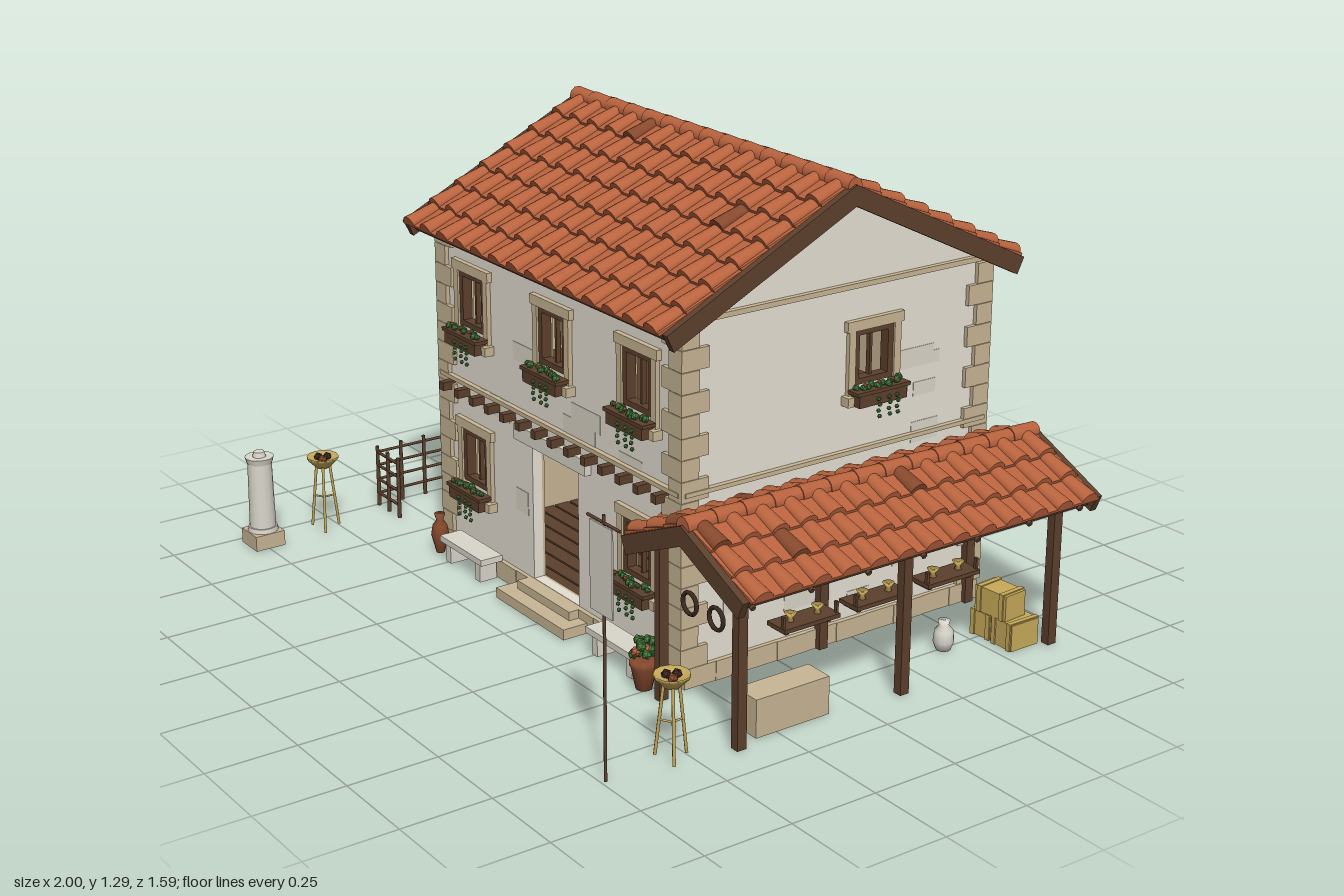
import * as THREE from 'three';
import { mergeGeometries } from 'three/addons/utils/BufferGeometryUtils.js';

const mat = (name, color, extra = {}) => {
  const m = new THREE.MeshStandardMaterial({ color, ...extra });
  m.name = name;
  return m;
};

export function createModel() {
  const M = {
    wall: mat('plaster', 0xe6e0d3, { side: THREE.DoubleSide }), patch: mat('worn plaster', 0xdcd6c8),
    tile: mat('terracotta', 0xb9633e), tileDark: mat('old terracotta', 0x86492d),
    wood: mat('dark wood', 0x5c402c), stone: mat('tan stone', 0xc8b694),
    straw: mat('straw and bronze', 0xc7aa5a), leaf: mat('leaf green', 0x457a3d),
    iron: mat('dark iron', 0x3a2a20), marble: mat('pale stone', 0xdad6cb),
  };
  let seed = 7;
  const rnd = () => (seed = (seed * 16807) % 2147483647) / 2147483647;
  const root = new THREE.Group();
  root.name = 'villa';

  // helpers
  const group = (parent, name, x = 0, y = 0, z = 0, ry = 0) => {
    const g = new THREE.Group();
    g.name = name; g.position.set(x, y, z); g.rotation.y = ry;
    parent.add(g);
    return g;
  };
  const add = (parent, name, geo, m, x = 0, y = 0, z = 0) => {
    const o = new THREE.Mesh(geo, m);
    o.name = name; o.position.set(x, y, z);
    parent.add(o);
    return o;
  };
  const box = (p, name, m, w, h, d, x, y, z) => add(p, name, new THREE.BoxGeometry(w, h, d), m, x, y, z);
  const cyl = (p, name, m, r1, r2, h, x, y, z, n = 10) => add(p, name, new THREE.CylinderGeometry(r1, r2, h, n), m, x, y, z);
  const rod = (p, name, m, a, b, r) => {
    const A = new THREE.Vector3(...a), B = new THREE.Vector3(...b);
    const o = cyl(p, name, m, r, r, A.distanceTo(B), 0, 0, 0, 6);
    o.position.copy(A).lerp(B, 0.5);
    o.quaternion.setFromUnitVectors(new THREE.Vector3(0, 1, 0), B.sub(A).normalize());
    return o;
  };
  const lathe = (p, name, m, pts, x, y, z) =>
    add(p, name, new THREE.LatheGeometry(pts.map(q => new THREE.Vector2(...q)), 12), m, x, y, z);

  // walls: local z = 0 is the outer face, holes are [centre, bottom, width, height]
  const CX = -0.035, CZ = -0.1955, W = 1.16, D = 0.999, H = 0.98;
  const panel = (w, h, holes, peak, depth) => {
    const s = new THREE.Shape([[-w / 2, 0], [w / 2, 0], [w / 2, h], ...(peak ? [[0, peak]] : []), [-w / 2, h]].map(q => new THREE.Vector2(...q)));
    for (const [u, y, a, b] of holes) {
      s.holes.push(new THREE.Path([[u - a / 2, y], [u - a / 2, y + b], [u + a / 2, y + b], [u + a / 2, y]].map(q => new THREE.Vector2(...q))));
    }
    return new THREE.ExtrudeGeometry(s, { depth, bevelEnabled: false });
  };
  const wall = (name, w, holes, peak, x, z, ry) => {
    const g = group(root, name, x, 0, z, ry);
    add(g, 'plaster', panel(w, H, holes, peak, 0.03), M.wall, 0, 0, -0.03);
    add(g, 'lining', panel(w - 0.07, H - 0.01, holes, 0, 0.008), M.stone, 0, 0, -0.038);
    for (let i = 0; i < 16; i++) {
      const a = 0.06 + rnd() * 0.1, b = 0.03 + rnd() * 0.04, u = (rnd() - 0.5) * (w - 0.35), y = 0.1 + rnd() * 0.8;
      if (holes.some(q => Math.abs(u - q[0]) < (a + q[2]) / 2 && y + b > q[1] && y - b < q[1] + q[3])) continue;
      box(g, 'wornPatch', M.patch, a, b, 0.003, u, y, 0);
    }
    box(g, 'stringCourse', M.stone, w, 0.012, 0.024, 0, 0.535, 0.003);
    if (peak) box(g, 'gableCourse', M.stone, w, 0.014, 0.024, 0, 0.988, 0.003);
    const n = Math.round(w / 0.1);
    for (let i = 0; i < n; i++) box(g, 'plinthBlock', M.stone, w / n, 0.055, 0.04, -w / 2 + (i + 0.5) * w / n, 0.0275, -0.008 + (i % 2) * 0.002);
    return g;
  };

  // planter with leaves, flowers and trailing vines
  const flowerBox = (g, u, y) => {
    const f = group(g, 'flowerBox', u, y, 0.033);
    box(f, 'trough', M.wood, 0.16, 0.042, 0.036, 0, -0.002, 0);
    box(f, 'troughRim', M.wood, 0.178, 0.01, 0.042, 0, 0.015, 0);
    for (let i = 0; i < 10; i++) {
      const x = -0.07 + i * 0.0155;
      add(f, 'leaves', new THREE.IcosahedronGeometry(0.008 + rnd() * 0.004, 0), M.leaf, x, 0.024 + rnd() * 0.006, (rnd() - 0.5) * 0.02);
      if (i % 3 === 1) add(f, 'flower', new THREE.IcosahedronGeometry(0.006, 0), M.tile, x, 0.035, 0.008);
    }
    for (const x of [-0.02, 0.015, 0.042]) {
      for (let k = 0; k < 4; k++) add(f, 'vine', new THREE.IcosahedronGeometry(0.0065, 0), M.leaf, x + (k % 2) * 0.004, -0.006 - k * 0.016, 0.023);
    }
  };
  const bigWindow = (g, [u, y, w, h], planted) => {
    const o = group(g, 'window', u, y, 0);
    box(o, 'lintel', M.stone, w + 0.06, 0.028, 0.03, 0, h + 0.014, 0);
    box(o, 'sill', M.stone, w + 0.07, 0.026, 0.05, 0, planted ? -0.036 : -0.013, 0.004);
    for (const s of [-1, 1]) {
      box(o, 'jamb', M.stone, 0.022, h + 0.03, 0.026, s * (w / 2 + 0.011), h / 2 - 0.015, 0);
      box(o, 'frameSide', M.wood, 0.017, h, 0.03, s * (w / 2 - 0.0085), h / 2, -0.008);
      box(o, 'frameRail', M.wood, w, 0.016, 0.03, 0, h / 2 + s * (h / 2 - 0.008), -0.008);
    }
    box(o, 'mullion', M.wood, 0.008, h, 0.014, 0, h / 2, -0.012);
    if (planted) flowerBox(g, u, y - 0.025);
  };
  const smallWindow = (g, [u, y, w, h]) => {
    const o = group(g, 'smallWindow', u, y, 0);
    box(o, 'lintel', M.wood, w + 0.045, 0.024, 0.06, 0, h + 0.01, 0);
    box(o, 'sill', M.stone, w + 0.06, 0.018, 0.07, 0, -0.009, 0.005);
    for (const s of [-1, 1]) {
      box(o, 'frameSide', M.wood, 0.012, h, 0.03, s * (w / 2 - 0.002), h / 2, -0.005);
      box(o, 'bar', M.iron, 0.004, h, 0.004, s * w / 6, h / 2, -0.012);
      box(o, 'crossBar', M.iron, w, 0.004, 0.004, 0, h / 2 + s * h / 6, -0.012);
    }
  };

  // the four walls
  const big = (u, y) => [u, y, 0.13, 0.16], small = (u, y) => [u, y, 0.095, 0.115];
  const fw = [big(-0.405, 0.705), big(0, 0.705), big(0.395, 0.705), big(-0.405, 0.24), big(0.395, 0.24)];
  const front = wall('frontWall', W, [...fw, [-0.005, 0.056, 0.224, 0.4]], 0, CX, 0.304, 0);
  fw.forEach(q => bigWindow(front, q, true));
  box(front, 'doorLintel', M.marble, 0.35, 0.044, 0.04, -0.005, 0.478, 0);
  box(front, 'doorstep', M.stone, 0.34, 0.03, 0.09, -0.005, 0.015, 0.045);
  box(front, 'upperStep', M.stone, 0.26, 0.055, 0.05, -0.005, 0.0275, 0.02);
  for (let i = 0; i < 14; i++) box(front, 'beamEnd', M.wood, 0.022, 0.024, 0.06, -0.53 + i * 0.08, 0.51, 0.01);

  const bw = [[0.355, 0.735], [-0.15, 0.735], [-0.44, 0.735], [0.355, 0.265], [0.045, 0.265], [-0.44, 0.265]].map(q => small(CX - q[0], q[1]));
  const back = wall('backWall', W, bw, 0, CX, -0.695, Math.PI);
  bw.forEach(q => smallWindow(back, q));

  const rw = [[CZ + 0.302, 0.715, 0.13, 0.15], [CZ + 0.077, 0.25, 0.13, 0.14]];
  const right = wall('leftSideWall', D, rw, 1.222, 0.545, CZ, Math.PI / 2);
  rw.forEach((q, i) => bigWindow(right, q, i === 0));
  const lw = [small(-0.12 - CZ, 0.735), small(-0.2 - CZ, 0.265)];
  const left = wall('rightSideWall', D, lw, 1.222, -0.615, CZ, -Math.PI / 2);
  lw.forEach(q => smallWindow(left, q));

  // corner stones alternate long and short
  for (const sx of [-1, 1]) for (const sz of [-1, 1]) for (let i = 0; i < 16; i++) {
    const a = i % 2 ? 0.085 : 0.055, b = i % 2 ? 0.055 : 0.085;
    box(root, 'cornerStone', M.stone, a, 0.056, b, CX + sx * (W / 2 + 0.012 - a / 2), 0.084 + i * 0.0575, CZ + sz * (D / 2 + 0.012 - b / 2));
  }

  // floors and table inside
  box(root, 'floor', M.iron, W - 0.03, 0.046, D - 0.03, CX, 0.022, CZ);
  for (let i = 0; i < 18; i++) box(root, 'floorBoard', M.wood, W - 0.08, 0.006, 0.047, CX, 0.05, CZ - 0.45 + i * 0.053);
  box(root, 'upperFloor', M.wood, W - 0.07, 0.02, D - 0.07, CX, 0.53, CZ);
  box(root, 'tableTop', M.wood, 0.15, 0.012, 0.1, 0, 0.185, -0.3);
  for (const x of [-0.055, 0.055]) for (const z of [-0.335, -0.265]) box(root, 'tableLeg', M.wood, 0.012, 0.13, 0.012, x, 0.118, z);

  // tiled gable roof, ridge along local x
  const roof = (name, width, L, angle, rows, cols, x, y, z, ry) => {
    const g = group(root, name, x, y, z, ry), l = L / rows, pitch = width / cols, r = pitch * 0.28;
    for (const side of [0, 1]) {
      const turn = group(g, 'roofSide', 0, 0, 0, side * Math.PI), s = group(turn, 'slope');
      s.rotation.x = angle;
      box(s, 'deck', M.wood, width - 0.03, 0.03, L - 0.01, 0, -0.015, (L - 0.01) / 2);
      for (const e of [-1, 1]) box(s, 'rakeBoard', M.wood, 0.02, 0.05, L + 0.004, e * (width / 2), -0.019, L / 2);
      const parts = { tile: [], tileDark: [] };
      for (let i = 0; i < rows; i++) {
        const zc = (i + 0.5) * l + 0.006;
        parts.tile.push(new THREE.BoxGeometry(width - 0.02, 0.008, l * 1.12).rotateX(-0.09).translate(0, 0.006, zc));
        for (let j = 0; j < cols; j++) {
          const t = new THREE.CylinderGeometry(r * 1.1, r * 0.88, l * 1.12, 7, 1, false, Math.PI / 2, Math.PI)
            .rotateX(Math.PI / 2).scale(1, 0.8, 1).rotateX(-0.11).translate((j + 0.5) * pitch - width / 2, 0.008, zc);
          parts[rnd() < 0.04 ? 'tileDark' : 'tile'].push(t);
        }
      }
      for (const k in parts) if (parts[k].length) add(s, 'roofTiles', mergeGeometries(parts[k].map(t => t.toNonIndexed())), M[k]);
    }
    for (let j = 0; j < cols; j++) {
      const c = cyl(g, 'ridgeTile', M.tile, 0.026, 0.023, pitch * 1.05, (j + 0.5) * pitch - width / 2, 0.002, 0);
      c.rotation.z = Math.PI / 2;
    }
  };
  roof('mainRoof', 1.25, 0.645, 0.456, 7, 14, -0.04, 1.26, CZ, 0);
  roof('porchRoof', 1.15, 0.272, 0.42, 3, 13, 0.73, 0.543, -0.14, Math.PI / 2);

  // porch frame
  for (const z of [0.38, -0.14, -0.655]) {
    box(root, 'porchPost', M.wood, 0.026, 0.44, 0.028, 0.888, 0.22, z);
    box(root, 'wallPost', M.wood, 0.022, 0.44, 0.028, 0.562, 0.22, z);
  }
  box(root, 'porchBeam', M.wood, 0.028, 0.024, 1.1, 0.888, 0.437, -0.14);
  for (let i = 0; i < 7; i++) {
    const z = 0.4 - i * 0.178;
    rod(root, 'rafter', M.wood, [0.74, 0.505, z], [0.965, 0.407, z], 0.008);
  }
  // rings hanging under the porch
  for (const x of [0.655, 0.765]) add(root, 'hangingRing', new THREE.TorusGeometry(0.029, 0.006, 6, 16), M.iron, x, 0.295, 0.36);
  // wall shelves with small wares
  for (const z of [-0.045, -0.287, -0.535]) {
    const s = group(root, 'shelf', 0.605, 0.125, z);
    box(s, 'board', M.wood, 0.075, 0.012, 0.185, 0, 0, 0);
    for (const e of [-1, 1]) {
      box(s, 'bracket', M.wood, 0.06, 0.014, 0.012, -0.01, -0.012, e * 0.07);
      box(s, 'endPeg', M.wood, 0.01, 0.04, 0.008, 0.025, 0.018, e * 0.088);
      lathe(s, 'dish', M.straw, [[0, 0], [0.01, 0], [0.006, 0.01], [0.017, 0.024], [0, 0.02]], 0, 0.007, e * 0.045);
    }
  }
  // crates, trough and jar
  const crate = (x, y, z, w, h, d, ry) => {
    const c = group(root, 'crate', x, y, z, ry);
    box(c, 'body', M.straw, w, h, d, 0, h / 2, 0);
    for (const e of [-1, 1]) box(c, 'slat', M.straw, 0.014, h + 0.004, d + 0.008, e * w * 0.36, h / 2 + 0.001, 0);
  };
  crate(0.835, 0, -0.58, 0.08, 0.075, 0.095, 0);
  crate(0.75, 0, -0.575, 0.075, 0.07, 0.085, 0.08);
  crate(0.79, 0.077, -0.565, 0.11, 0.072, 0.075, 0.08);
  crate(-0.9, 0, -0.57, 0.13, 0.075, 0.09, 0.4);
  box(root, 'stoneTrough', M.stone, 0.085, 0.105, 0.23, 0.83, 0.0525, 0.2);
  lathe(root, 'paleJar', M.marble, [[0, 0], [0.02, 0], [0.029, 0.025], [0.026, 0.055], [0.013, 0.07], [0.017, 0.084], [0, 0.084]], 0.755, 0, -0.4);

  // amphora and potted plant
  lathe(root, 'amphora', M.tileDark, [[0, 0], [0.012, 0], [0.026, 0.055], [0.021, 0.085], [0.01, 0.1], [0.016, 0.12], [0, 0.12]], -0.57, 0.003, 0.36);
  lathe(root, 'plantPot', M.tileDark, [[0, 0], [0.022, 0], [0.034, 0.06], [0.038, 0.065], [0.038, 0.08], [0, 0.075]], 0.485, 0, 0.38);
  for (let i = 0; i < 16; i++) {
    const a = i * 2.4, r = 0.029 * Math.sqrt(rnd());
    add(root, 'plantLeaves', new THREE.IcosahedronGeometry(0.014, 0), i % 6 ? M.leaf : M.tile, 0.485 + r * Math.cos(a), 0.088 + rnd() * 0.045, 0.38 + r * Math.sin(a));
  }
  // stone benches
  for (const x of [-0.415, 0.335]) {
    box(root, 'benchSeat', M.marble, 0.225, 0.018, 0.07, x, 0.066, 0.35);
    for (const e of [-1, 1]) box(root, 'benchLeg', M.marble, 0.025, 0.058, 0.055, x + e * 0.08, 0.029, 0.35);
  }

  // tripod braziers
  for (const x of [-0.925, 0.838]) {
    const b = group(root, 'brazier', x, 0, 0.545);
    lathe(b, 'bowl', M.straw, [[0, 0.19], [0.02, 0.195], [0.046, 0.222], [0.046, 0.23], [0.036, 0.222], [0, 0.215]], 0, 0, 0);
    for (let i = 0; i < 3; i++) {
      const a = i * 2.094 + 0.5, c = Math.cos(a), s = Math.sin(a);
      rod(b, 'leg', M.straw, [c * 0.022, 0.2, s * 0.022], [c * 0.045, 0.004, s * 0.045], 0.0045);
      rod(b, 'brace', M.straw, [c * 0.034, 0.1, s * 0.034], [0, 0.1, 0], 0.003);
      add(b, 'coal', new THREE.IcosahedronGeometry(0.014, 0), i ? M.iron : M.tileDark, c * 0.015, 0.224, s * 0.015);
    }
  }
  // standing column
  const col = group(root, 'column', -0.928, 0, 0.747);
  box(col, 'pedestal', M.stone, 0.092, 0.045, 0.092, 0, 0.0225, 0);
  cyl(col, 'base', M.marble, 0.042, 0.044, 0.014, 0, 0.052, 0, 16);
  cyl(col, 'shaft', M.marble, 0.035, 0.038, 0.2, 0, 0.158, 0, 14);
  cyl(col, 'capital', M.marble, 0.042, 0.037, 0.018, 0, 0.264, 0, 16);
  cyl(col, 'knob', M.marble, 0.016, 0.02, 0.016, 0, 0.28, 0);
  // banner on a pole
  rod(root, 'bannerPole', M.wood, [0.837, 0, 0.738], [0.837, 0.685, 0.738], 0.0045);
  rod(root, 'bannerBar', M.wood, [0.77, 0.665, 0.738], [0.904, 0.665, 0.738], 0.004);
  box(root, 'bannerCloth', M.marble, 0.092, 0.225, 0.004, 0.837, 0.55, 0.745);

  // fence along the side with a short return
  const fence = (ax, az, bx, bz, n) => {
    for (let i = 0; i <= n; i++) cyl(root, 'fencePost', M.wood, 0.006, 0.007, 0.19, ax + (bx - ax) * i / n, 0.095, az + (bz - az) * i / n, 6);
    for (const y of [0.04, 0.085, 0.13, 0.172]) rod(root, 'fenceRail', M.wood, [ax, y, az], [bx, y, bz], 0.0045);
  };
  fence(-0.993, -0.635, -0.993, 0.325, 12);
  fence(-0.993, 0.325, -0.87, 0.325, 2);

  // handcart with pots
  const cart = group(root, 'handcart', -0.81, 0, -0.1, -0.12);
  box(cart, 'bed', M.wood, 0.16, 0.016, 0.215, 0, 0.09, 0);
  for (const e of [-1, 1]) {
    box(cart, 'sideBoard', M.wood, 0.01, 0.04, 0.215, e * 0.078, 0.112, 0);
    box(cart, 'endBoard', M.wood, 0.16, 0.03, 0.01, 0, 0.108, e * 0.105);
    rod(cart, 'handle', M.wood, [e * 0.055, 0.09, 0.08], [e * 0.055, 0.105, 0.2], 0.006);
    box(cart, 'leg', M.wood, 0.012, 0.085, 0.012, e * 0.065, 0.0425, 0.085);
    const w = group(cart, 'wheel', e * 0.092, 0.058, -0.04, Math.PI / 2);
    add(w, 'rim', new THREE.TorusGeometry(0.05, 0.008, 6, 16), M.wood);
    for (let k = 0; k < 4; k++) box(w, 'spoke', M.wood, 0.1, 0.007, 0.007, 0, 0, 0).rotation.z = k * Math.PI / 4;
  }
  for (const [x, z] of [[-0.035, 0], [0.035, 0], [0, 0.035]]) {
    lathe(cart, 'pot', M.marble, [[0, 0], [0.016, 0], [0.024, 0.025], [0.016, 0.045], [0.019, 0.052], [0, 0.048]], x, 0.098, z);
  }
  return root;
}
